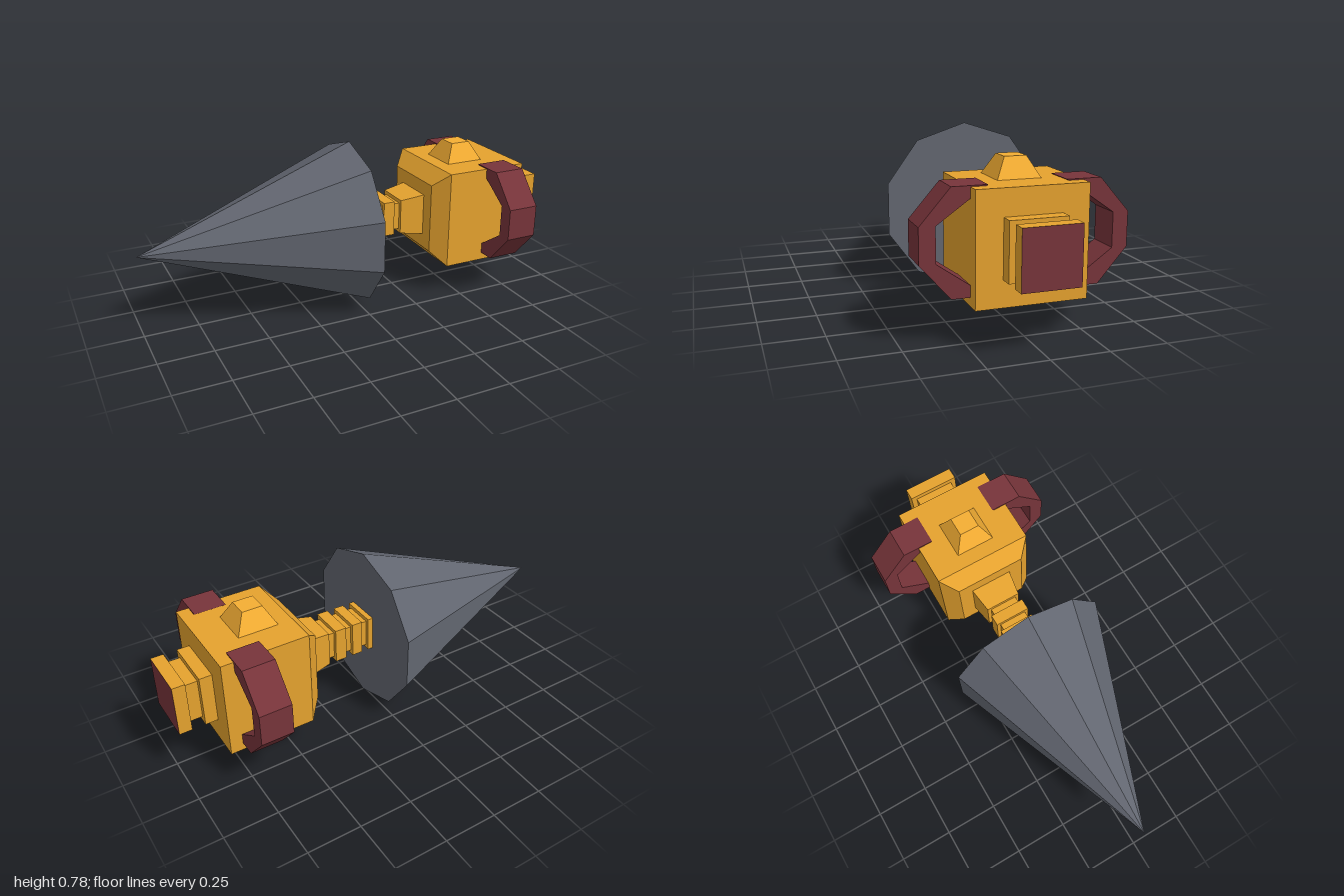
import * as THREE from 'three';

const AXIS_Y = 0.393;

const paint = (color) => new THREE.MeshStandardMaterial({ color, flatShading: true });

// Faceted solid along x: profile holds [x, radius] pairs from -x to +x.
function turned(profile, sides, startAngle) {
  const points = profile.map(([x, r]) => new THREE.Vector2(r, x));
  const geometry = new THREE.LatheGeometry(points, sides, startAngle);
  return geometry.rotateZ(-Math.PI / 2);
}

// Square-section solid along x: profile holds [x, half width] pairs.
const squareTurned = (profile) =>
  turned(profile.map(([x, h]) => [x, h * Math.SQRT2]), 4, Math.PI / 4);

export function createModel() {
  const model = new THREE.Group();
  model.name = 'drillTool';
  const orange = paint(0xe5a22e);
  const amber = paint(0xf5ae33);
  const maroon = paint(0x77343a);
  const grey = paint(0x626670);

  const add = (name, geometry, material, y = AXIS_Y) => {
    const mesh = new THREE.Mesh(geometry, material);
    mesh.name = name;
    mesh.position.y = y;
    model.add(mesh);
    return mesh;
  };

  // Ten-sided drill cone
  add('drillCone', turned([[-1, 0], [0.01, 0.388], [0.01, 0]], 10, Math.PI / 2), grey, 0.39);

  // Ribbed square neck flaring into the body
  const neck = [];
  for (const [start, end] of [[0.01, 0.035], [0.07, 0.12], [0.155, 0.21]]) {
    neck.push([start, 0.084], [end, 0.084], [end, 0.066], [end + 0.035, 0.066]);
  }
  neck.push([0.245, 0.084], [0.36, 0.101]);
  add('neck', squareTurned(neck), orange);

  // Body with a chamfered front end
  add('body', squareTurned([[0.36, 0], [0.36, 0.168], [0.425, 0.234], [0.825, 0.234], [0.825, 0]]), orange);

  // Stepped tail with a coloured end plate
  add('tail', squareTurned([
    [0.825, 0.122], [0.882, 0.122], [0.882, 0.096],
    [0.942, 0.096], [0.942, 0.122], [1, 0.122],
  ]), orange);
  add('tailPlate', new THREE.PlaneGeometry(0.244, 0.244).rotateY(Math.PI / 2), maroon).position.x = 1;

  // Tapered knob on top
  const knob = new THREE.CylinderGeometry(0.047 * Math.SQRT2, 0.093 * Math.SQRT2, 0.086, 4, 1, false, Math.PI / 4);
  add('topKnob', knob, amber, 0.67).position.x = 0.588;

  // Angular handles on both sides, as [distance from centre, y]
  const outline = [
    [0.163, 0.632], [0.31, 0.632], [0.437, 0.487], [0.437, 0.34],
    [0.31, 0.195], [0.163, 0.195], [0.37, 0.34], [0.37, 0.487],
  ];
  for (const side of [1, -1]) {
    const shape = new THREE.Shape(outline.map(([z, y]) => new THREE.Vector2(-side * z, y)));
    const handle = new THREE.ExtrudeGeometry(shape, { depth: 0.147, bevelEnabled: false });
    handle.rotateY(Math.PI / 2);
    add(side > 0 ? 'frontHandle' : 'backHandle', handle, maroon, 0).position.x = 0.621;
  }

  return model;
}
